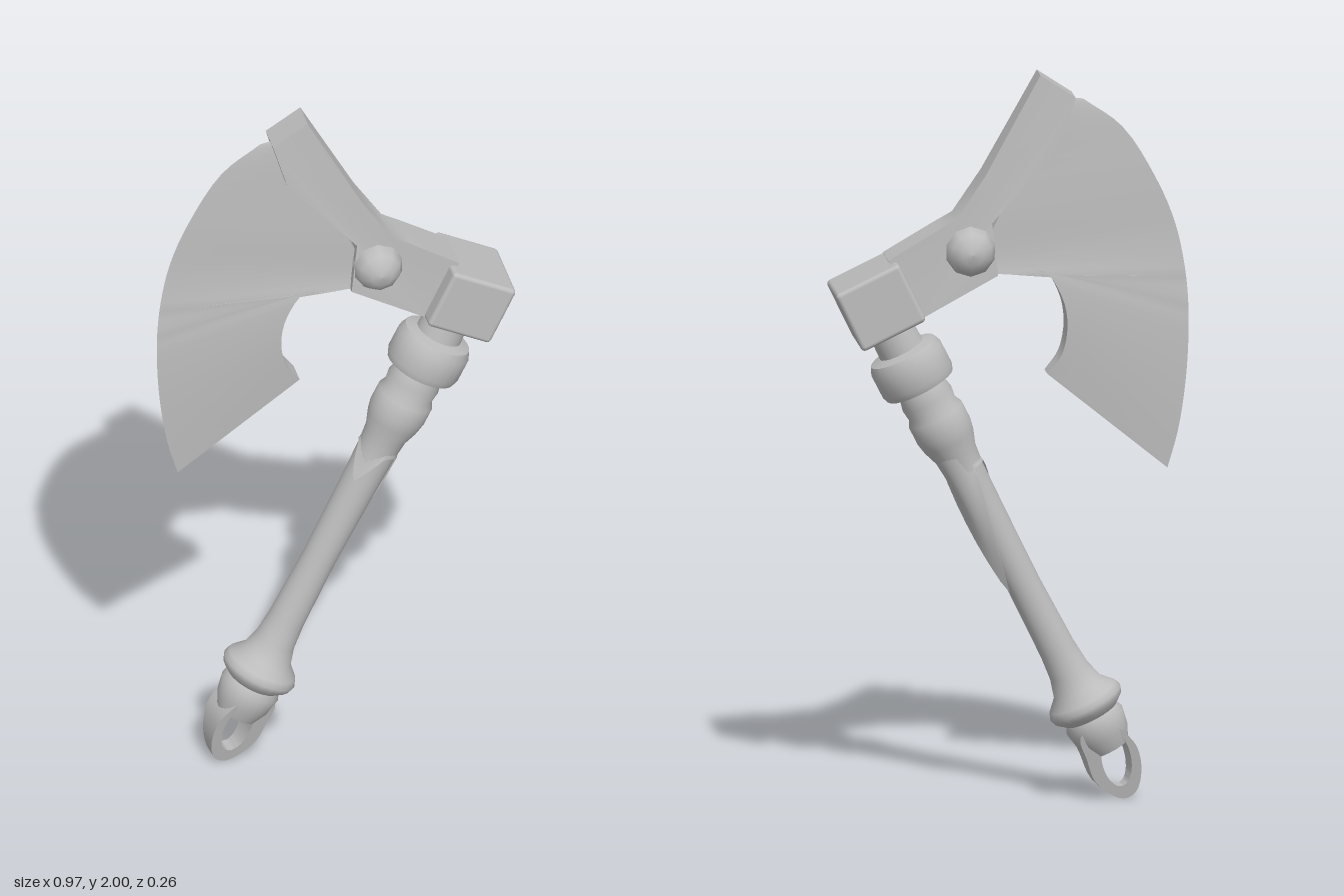
import * as THREE from 'three';
import { toCreasedNormals } from 'three/addons/utils/BufferGeometryUtils.js';
import { RoundedBoxGeometry } from 'three/addons/geometries/RoundedBoxGeometry.js';

const clayGrey = new THREE.MeshStandardMaterial({ color: 0xbdbdbd });
clayGrey.name = 'clayGrey';
const clayGreyOpen = new THREE.MeshStandardMaterial({ color: 0xbdbdbd, side: THREE.DoubleSide });
clayGreyOpen.name = 'clayGrey';

const v2 = (list) => list.map(([x, y]) => new THREE.Vector2(x, y));
const curve = (list) => new THREE.CatmullRomCurve3(list.map(([x, y, z = 0]) => new THREE.Vector3(x, y, z)));

function add(parent, name, geometry, material = clayGrey) {
  const mesh = new THREE.Mesh(geometry, material);
  mesh.name = name;
  parent.add(mesh);
  return mesh;
}

// Flat outline extruded both ways, its half thickness given by a rule of y
function plate(shape, halfAt) {
  const geo = new THREE.ExtrudeGeometry(shape, { depth: 2, bevelEnabled: false, curveSegments: 20 });
  const p = geo.attributes.position;
  for (let i = 0; i < p.count; i++) p.setZ(i, (p.getZ(i) - 1) * halfAt(p.getY(i)));
  return toCreasedNormals(geo, 0.6);
}

// Wedge between a thick inner curve (z holds half thickness) and a sharp outer curve
function bladeGeometry() {
  const outer = curve([[-0.2, 1.926], [-0.307, 1.847], [-0.4, 1.7], [-0.45, 1.58], [-0.476, 1.46],
    [-0.486, 1.35], [-0.485, 1.24], [-0.476, 1.127], [-0.457, 1.01], [-0.429, 0.91]]);
  const inner = curve([[-0.11, 1.93, 0.02], [-0.06, 1.8, 0.025], [0.03, 1.62, 0.04], [0.08, 1.5, 0.045],
    [0.04, 1.46, 0.05], [-0.085, 1.466, 0.05], [-0.138, 1.392, 0.048], [-0.153, 1.312, 0.045],
    [-0.138, 1.233, 0.04], [-0.1, 1.18, 0.035]]);
  const n = 36, out = [];
  const tri = (...pts) => pts.forEach((p) => out.push(p.x, p.y, p.z));
  const quad = (a, b, c, d) => { tri(a, b, c); tri(a, c, d); };
  const rows = [];
  for (let i = 0; i <= n; i++) {
    const f = inner.getPoint(i / n);
    rows.push({ f, b: new THREE.Vector3(f.x, f.y, -f.z), o: outer.getPoint(i / n) });
  }
  for (let i = 0; i < n; i++) {
    const r = rows[i], s = rows[i + 1];
    quad(r.f, r.o, s.o, s.f);
    quad(r.b, s.b, s.o, r.o);
    quad(r.f, s.f, s.b, r.b);
  }
  tri(rows[n].f, rows[n].o, rows[n].b);
  tri(rows[0].f, rows[0].b, rows[0].o);
  const geo = new THREE.BufferGeometry();
  geo.setAttribute('position', new THREE.Float32BufferAttribute(out, 3));
  return toCreasedNormals(geo, 0.5);
}

export function createModel() {
  const model = new THREE.Group();
  model.name = 'axe';

  // Head, turned slightly about the vertical
  const head = new THREE.Group();
  head.name = 'head';
  head.position.z = -0.025;
  head.rotation.y = -0.095;
  model.add(head);
  add(head, 'blade', bladeGeometry());

  // Bent spine running from the top point to the hammer block
  const spine = new THREE.Shape(v2([[-0.175, 1.937], [-0.138, 1.815], [0.053, 1.6], [0.037, 1.458],
    [0.245, 1.344], [0.335, 1.505], [0.2, 1.585], [0.148, 1.614], [0.07, 1.73], [-0.08, 2.0]]));
  add(head, 'spine', plate(spine, (y) => THREE.MathUtils.clamp(0.064 - (y - 1.5) * 0.044, 0.042, 0.064)));

  const hammer = add(head, 'hammerBlock', new RoundedBoxGeometry(0.192, 0.175, 0.225, 2, 0.012));
  hammer.position.set(0.36, 1.384, 0);
  hammer.rotation.z = -0.45;

  // Domed rivet through the bend
  const rivet = add(head, 'rivet', new THREE.LatheGeometry(v2([[0, -0.115], [0.03, -0.11], [0.055, -0.09],
    [0.069, -0.06], [0.071, 0], [0.069, 0.06], [0.055, 0.09], [0.03, 0.11], [0, 0.115]]), 10));
  rivet.geometry.rotateX(Math.PI / 2);
  rivet.position.set(0.111, 1.524, 0);

  // Handle with pommel flange, grip swellings and collar
  const handle = new THREE.Group();
  handle.name = 'handle';
  handle.position.set(-0.271, 0.15, -0.02);
  handle.quaternion.setFromUnitVectors(new THREE.Vector3(0, 1, 0), new THREE.Vector3(0.51, 1, 0.025).normalize());
  model.add(handle);
  const shaft = new THREE.LatheGeometry(v2([[0, -0.015], [0.058, -0.01], [0.076, 0.03], [0.084, 0.075],
    [0.076, 0.095], [0.1, 0.115], [0.106, 0.132], [0.098, 0.15], [0.07, 0.18], [0.056, 0.23], [0.05, 0.3],
    [0.046, 0.5], [0.05, 0.7], [0.054, 0.85], [0.06, 0.91], [0.074, 0.95], [0.08, 0.98], [0.08, 1.03],
    [0.07, 1.05], [0.074, 1.08], [0.066, 1.115], [0.098, 1.122], [0.105, 1.14], [0.105, 1.205],
    [0.095, 1.228], [0.064, 1.236], [0.06, 1.33]]), 24);
  add(handle, 'shaft', toCreasedNormals(shaft, 0.9));

  // Torn wrap: lower rim hangs in one long and one short point
  const wrap = new THREE.CylinderGeometry(1, 1, 1, 32, 8, true);
  const p = wrap.attributes.position;
  for (let i = 0; i < p.count; i++) {
    const a = Math.atan2(p.getZ(i), p.getX(i)), t = 0.5 - p.getY(i);
    const point = (centre, width) => {
      const d = Math.abs(Math.atan2(Math.sin(a - centre), Math.cos(a - centre)));
      return Math.max(0, 1 - d / width);
    };
    const main = point(-0.75, 1.2);
    const length = 0.1 + 0.36 * main + 0.1 * point(2.4, 0.9);
    const r = 0.064 - 0.008 * Math.sin(Math.PI * t) + 0.012 * main * t - 0.006 * t;
    p.setXYZ(i, Math.cos(a) * r, 0.96 - t * length, Math.sin(a) * r);
  }
  wrap.computeVertexNormals();
  add(handle, 'tornWrap', wrap, clayGreyOpen);

  // Hanging loop, thinning towards its lower end
  const loop = new THREE.Shape(curve([[-0.3, 0.2], [-0.342, 0.15], [-0.358, 0.08], [-0.345, 0.02],
    [-0.31, 0.003], [-0.235, 0.05], [-0.205, 0.12], [-0.185, 0.18], [-0.23, 0.23]]).getPoints(32)
    .map((q) => new THREE.Vector2(q.x, q.y)));
  loop.holes.push(new THREE.Path().absellipse(-0.287, 0.117, 0.04, 0.08, 0, Math.PI * 2, true, -0.25));
  add(model, 'hangingLoop', plate(loop, (y) => 0.017 + 0.23 * y)).position.z = -0.02;

  return model;
}
